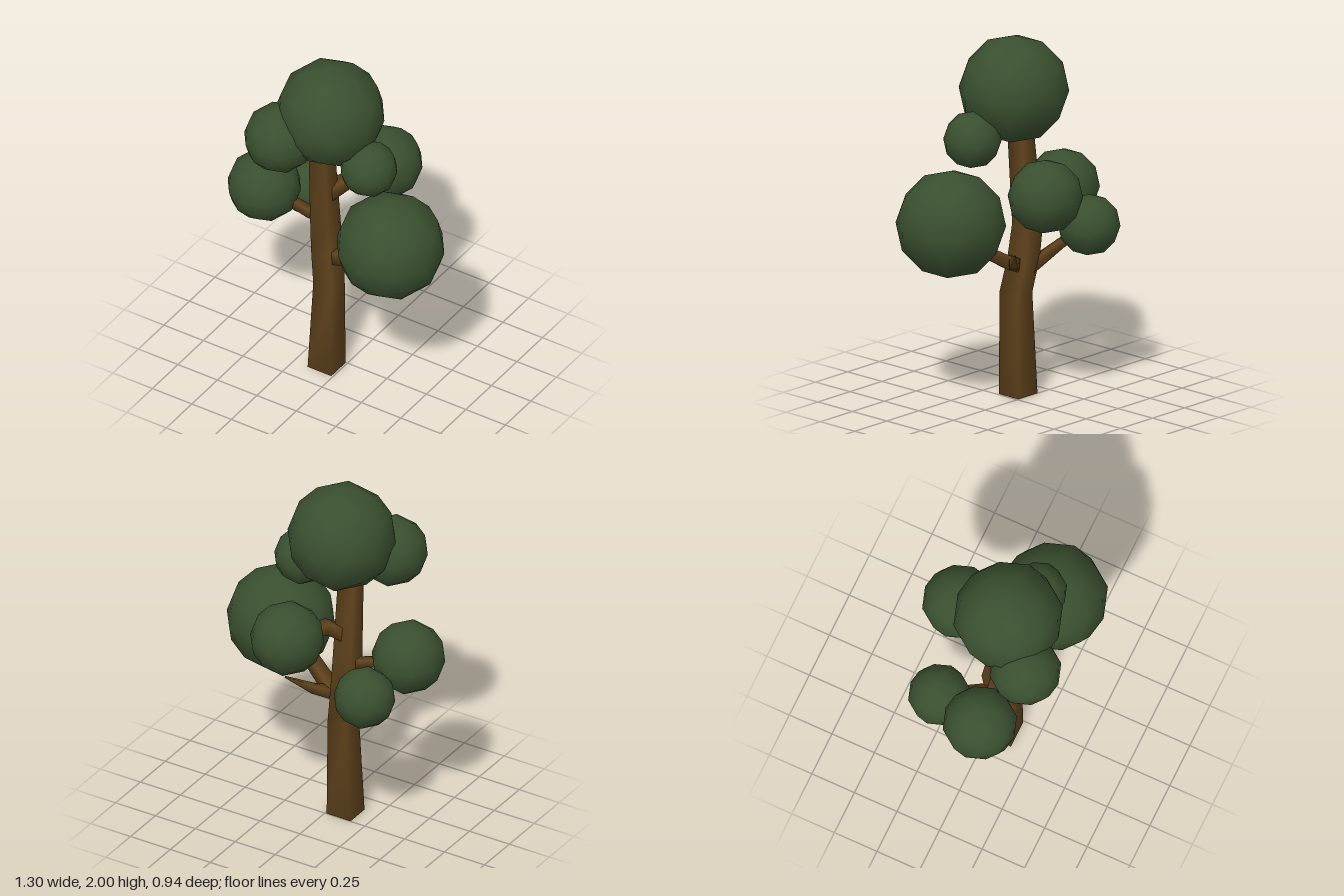
import * as THREE from 'three';

const bark = new THREE.MeshStandardMaterial({ color: 0x5f421c });
const leaf = new THREE.MeshStandardMaterial({ color: 0x3a5030 });

// Four-sided limb with soft normals; points are [x, y, z, halfWidthU, halfWidthV]
function limb(name, points, axis, ref) {
  const u = ref.clone().cross(axis).normalize();
  const v = axis.clone().cross(u).normalize();
  const positions = [];
  const index = [];
  for (const [x, y, z, hu, hv = hu] of points) {
    for (const [a, b] of [[-1, -1], [1, -1], [1, 1], [-1, 1]]) {
      positions.push(
        x + u.x * a * hu + v.x * b * hv,
        y + u.y * a * hu + v.y * b * hv,
        z + u.z * a * hu + v.z * b * hv);
    }
  }
  for (let r = 0; r < points.length - 1; r++) {
    for (let i = 0; i < 4; i++) {
      const a = r * 4 + i;
      const b = r * 4 + (i + 1) % 4;
      index.push(a, b, b + 4, a, b + 4, a + 4);
    }
  }
  const e = (points.length - 1) * 4;
  index.push(0, 2, 1, 0, 3, 2, e, e + 1, e + 2, e, e + 2, e + 3);
  const geometry = new THREE.BufferGeometry();
  geometry.setAttribute('position', new THREE.Float32BufferAttribute(positions, 3));
  geometry.setIndex(index);
  geometry.computeVertexNormals();
  const mesh = new THREE.Mesh(geometry, bark);
  mesh.name = name;
  return mesh;
}

// Branch whose cross-sections face along its overall direction
function branch(name, points) {
  const first = new THREE.Vector3(...points[0].slice(0, 3));
  const last = new THREE.Vector3(...points[points.length - 1].slice(0, 3));
  return limb(name, points, last.sub(first).normalize(), new THREE.Vector3(0, 1, 0));
}

export function createModel() {
  const tree = new THREE.Group();
  tree.name = 'tree';

  // Trunk, bending back and then forward again
  tree.add(limb('trunk', [
    [-0.085, 0, 0.072, 0.07, 0.075],
    [-0.069, 0.57, 0.074, 0.066, 0.057],
    [-0.1, 0.76, 0.047, 0.064, 0.058],
    [-0.118, 0.95, 0.035, 0.058, 0.058],
    [-0.113, 1.4, 0.075, 0.052, 0.05],
    [-0.1, 1.6, 0.08, 0.045, 0.045],
  ], new THREE.Vector3(0, 1, 0), new THREE.Vector3(1, 0, 0)));

  // Branches reaching into the crowns
  tree.add(
    branch('leftBranch', [
      [-0.1, 0.72, 0.05, 0.04], [0.0, 0.75, 0.06, 0.036],
      [0.16, 0.85, 0.12, 0.032], [0.3, 0.96, 0.14, 0.028]]),
    branch('leftTwig', [
      [-0.03, 0.735, 0.05, 0.03], [0.06, 0.775, -0.03, 0.022], [0.165, 0.865, -0.135, 0.004]]),
    branch('lowerRightBranch', [
      [-0.1, 0.68, 0.05, 0.035], [-0.165, 0.73, 0.01, 0.03],
      [-0.25, 0.83, -0.08, 0.023], [-0.34, 0.91, -0.16, 0.018]]),
    branch('upperRightBranch', [
      [-0.11, 0.955, 0.04, 0.03], [-0.2, 0.97, 0.06, 0.025], [-0.4, 1.04, 0.09, 0.02]]),
    branch('backBranch', [
      [-0.11, 1.12, 0.05, 0.04], [-0.03, 1.185, -0.03, 0.034], [0.05, 1.2, -0.2, 0.026]]),
  );

  // Foliage: low-poly balls with one vertex pointing straight up
  const ball = new THREE.IcosahedronGeometry(1, 1);
  ball.rotateZ(Math.atan(2 / (1 + Math.sqrt(5))));
  ball.rotateY(Math.PI);
  const crowns = [
    ['topCrown', -0.057, 1.704, 0.077, 0.296],
    ['leftCrown', 0.365, 1.031, 0.143, 0.296],
    ['rightCrown', -0.461, 1.07, 0.101, 0.201],
    ['frontUpperCrown', -0.254, 1.579, 0.271, 0.194],
    ['leftUpperCrown', 0.216, 1.472, 0.125, 0.156],
    ['backCrown', 0.069, 1.205, -0.268, 0.202],
    ['backLowerCrown', -0.363, 0.932, -0.184, 0.168],
  ];
  for (const [name, x, y, z, r] of crowns) {
    const mesh = new THREE.Mesh(ball, leaf);
    mesh.name = name;
    mesh.position.set(x, y, z);
    mesh.scale.setScalar(r);
    tree.add(mesh);
  }
  return tree;
}
